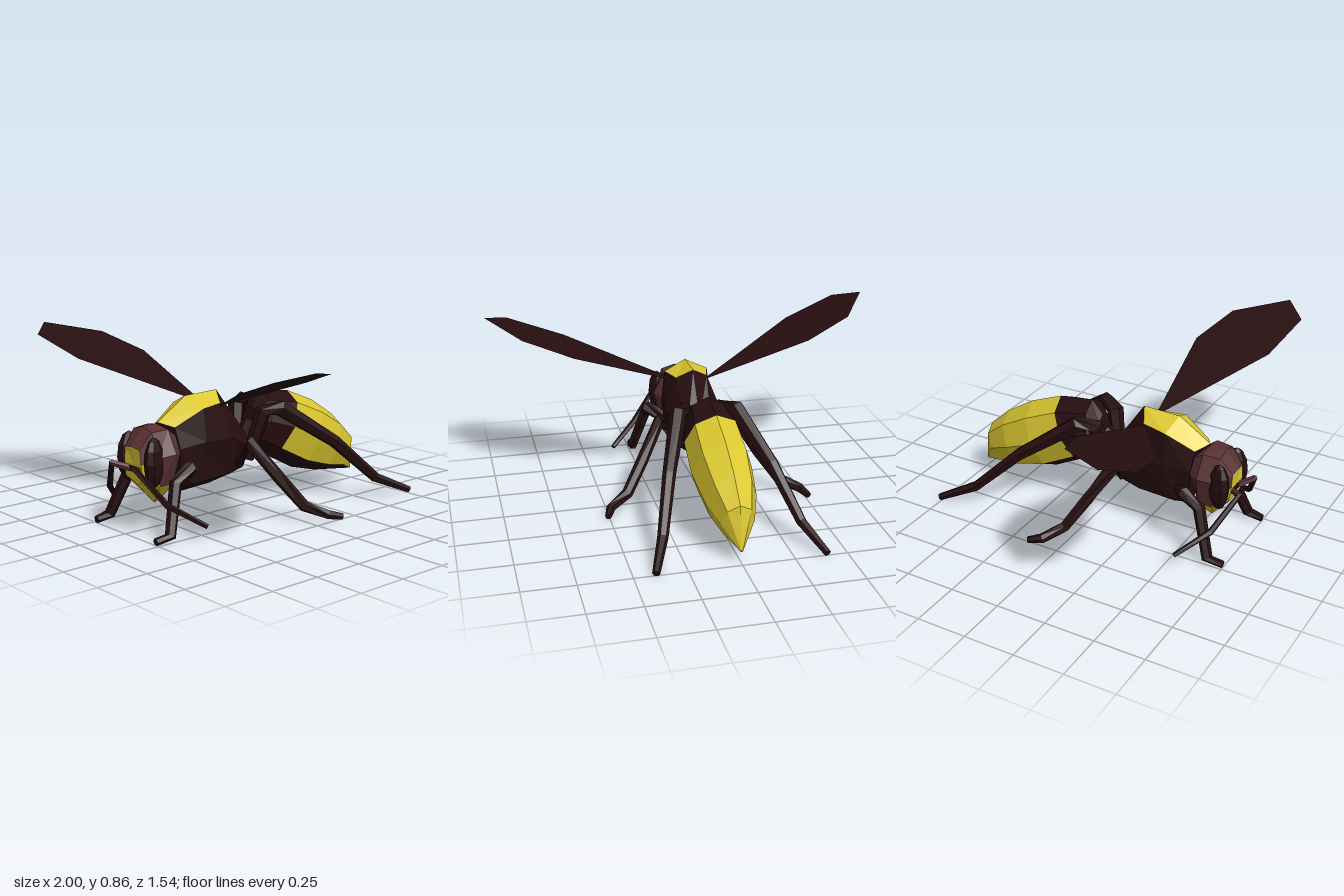
import * as THREE from 'three';

const V = (x, y, z) => new THREE.Vector3(x, y, z);
const material = (name, color, extra = {}) => {
  const m = new THREE.MeshStandardMaterial({ color, flatShading: true, ...extra });
  m.name = name;
  return m;
};

// Flat-shaded skin through closed rings with end caps; pick(segment, side) chooses a material index.
function loft(name, rings, materials, pick = () => 0, startCap = 0, endCap = 0) {
  const buckets = materials.map(() => []);
  const n = rings[0].length;
  const tri = (m, a, b, c) => buckets[m].push([a, b, c]);
  for (let i = 0; i < rings.length - 1; i++) {
    for (let j = 0; j < n; j++) {
      const k = (j + 1) % n, p = rings[i], q = rings[i + 1], m = pick(i, j);
      tri(m, p[j], q[j], q[k]);
      tri(m, p[j], q[k], p[k]);
    }
  }
  const cap = (ring, m, flip) => {
    const c = V(0, 0, 0);
    ring.forEach((p) => c.addScaledVector(p, 1 / n));
    ring.forEach((p, j) => {
      const q = ring[(j + 1) % n];
      flip ? tri(m, c, q, p) : tri(m, c, p, q);
    });
  };
  cap(rings[0], startCap, false);
  cap(rings[rings.length - 1], endCap, true);

  // Signed volume tells whether the skin must be turned outward.
  const origin = rings[0][0];
  let volume = 0;
  buckets.flat().forEach(([a, b, c]) => {
    const u = a.clone().sub(origin), v = b.clone().sub(origin), w = c.clone().sub(origin);
    volume += u.dot(v.cross(w));
  });
  const points = [];
  const geometry = new THREE.BufferGeometry();
  buckets.forEach((list, m) => {
    if (list.length) geometry.addGroup(points.length, list.length * 3, m);
    list.forEach(([a, b, c]) => (volume < 0 ? points.push(a, c, b) : points.push(a, b, c)));
  });
  geometry.setFromPoints(points);
  geometry.computeVertexNormals();
  const mesh = new THREE.Mesh(geometry, materials);
  mesh.name = name;
  return mesh;
}

// Full ring from a half profile running top, shoulder, side, low, bottom.
const mirrorRing = (half) => {
  const pts = half.map((p) => V(...p));
  const other = pts.slice(1, -1).reverse().map((p) => V(-p.x, p.y, p.z));
  return [...pts, ...other];
};
const strip = (j) => Math.min(j, 7 - j);

// Tapered limb along a bent path.
function limb(name, path, radii, mat, sides = 6) {
  const pts = path.map((p) => V(...p));
  const rings = pts.map((p, i) => {
    const t = pts[Math.min(i + 1, pts.length - 1)].clone().sub(pts[Math.max(i - 1, 0)]).normalize();
    const u = V(1, 0, 0).addScaledVector(t, -t.x).normalize();
    const v = t.clone().cross(u);
    return Array.from({ length: sides }, (_, k) => {
      const a = (k / sides) * Math.PI * 2;
      return p.clone().addScaledVector(u, Math.cos(a) * radii[i]).addScaledVector(v, Math.sin(a) * radii[i]);
    });
  });
  return loft(name, rings, [mat]);
}

export function createModel() {
  const model = new THREE.Group();
  model.name = 'wasp';
  const dark = material('dark shell', 0x260e10);
  const yellow = material('yellow shell', 0xdcc830);
  const brown = material('brown head shell', 0x583032);
  const wingDark = material('dark wing', 0x260e10, { side: THREE.DoubleSide });

  // Thorax with yellow back plate
  const thorax = [
    [[0, 0.5, 0.555], [0.075, 0.48, 0.51], [0.1, 0.38, 0.5], [0.08, 0.24, 0.49], [0, 0.21, 0.49]],
    [[0, 0.605, 0.39], [0.112, 0.555, 0.37], [0.13, 0.4, 0.37], [0.1, 0.2, 0.42], [0, 0.145, 0.455]],
    [[0, 0.61, 0.2], [0.08, 0.56, 0.24], [0.14, 0.4, 0.22], [0.1, 0.21, 0.23], [0, 0.155, 0.25]],
    [[0, 0.4, 0.06], [0.06, 0.38, 0.06], [0.095, 0.32, 0.07], [0.06, 0.22, 0.08], [0, 0.18, 0.1]],
  ].map(mirrorRing);
  model.add(loft('thorax', thorax, [dark, yellow], (i, j) => (i < 2 && strip(j) === 0 ? 1 : 0)));
  model.add(limb('waist', [[0, 0.3, 0.1], [0, 0.31, 0.03], [0, 0.39, -0.05]], [0.08, 0.06, 0.075], dark, 8));

  // Abdomen: top z, top y, bottom z, bottom y, half width
  const abdomen = [
    [-0.03, 0.5, 0, 0.31, 0.065],
    [-0.09, 0.57, -0.03, 0.295, 0.11],
    [-0.27, 0.545, -0.12, 0.235, 0.14],
    [-0.44, 0.475, -0.3, 0.14, 0.147],
    [-0.59, 0.38, -0.47, 0.095, 0.125],
    [-0.7, 0.275, -0.62, 0.075, 0.08],
    [-0.735, 0.07, -0.73, 0.06, 0.006],
  ].map(([tz, ty, bz, by, w]) => mirrorRing([0, 1, 2, 3, 4].map((k) => {
    const a = (k * Math.PI) / 4, f = (1 - Math.cos(a)) / 2;
    return [w * Math.sin(a), ty + (by - ty) * f, tz + (bz - tz) * f];
  })));
  model.add(loft('abdomen', abdomen, [dark, yellow], (i, j) => (i > 1 && strip(j) < 3 ? 1 : 0), 0, 1));

  // Head with brown crown and yellow face
  const head = [
    [[0, 0.46, 0.5], [0.07, 0.44, 0.5], [0.1, 0.36, 0.5], [0.06, 0.28, 0.51], [0, 0.25, 0.52]],
    [[0, 0.495, 0.56], [0.08, 0.48, 0.555], [0.135, 0.37, 0.55], [0.09, 0.22, 0.54], [0, 0.14, 0.53]],
    [[0, 0.495, 0.64], [0.07, 0.475, 0.64], [0.115, 0.36, 0.64], [0.095, 0.22, 0.62], [0, 0.12, 0.58]],
    [[0, 0.41, 0.705], [0.055, 0.4, 0.7], [0.065, 0.33, 0.7], [0.07, 0.26, 0.69], [0, 0.22, 0.67]],
  ].map(mirrorRing);
  model.add(loft('head', head, [brown, yellow],
    (i, j) => (strip(j) === 3 && i > 0) || (i === 2 && strip(j) === 2) ? 1 : 0, 0, 1));

  // Dark brow plate between the antenna roots
  const brow = new THREE.Mesh(new THREE.BoxGeometry(0.1, 0.02, 0.008), dark);
  brow.name = 'facePlate';
  brow.position.set(0, 0.305, 0.698);
  model.add(brow);

  for (const s of [1, -1]) {
    const side = s > 0 ? 'left' : 'right';
    const m = (path) => path.map(([x, y, z]) => [s * x, y, z]);

    // Eyes
    const eye = new THREE.Mesh(new THREE.SphereGeometry(1, 8, 6), dark);
    eye.name = side + 'Eye';
    eye.scale.set(0.04, 0.12, 0.058);
    eye.position.set(s * 0.095, 0.34, 0.65);
    eye.rotation.y = s * 0.35;
    model.add(eye);

    // Antennae
    model.add(limb(side + 'AntennaBase', m([[0.025, 0.3, 0.69], [0.09, 0.325, 0.755]]), [0.016, 0.015], brown, 5));
    model.add(limb(side + 'Antenna',
      m([[0.085, 0.33, 0.755], [0.22, 0.17, 0.675], [0.36, 0.08, 0.555]]), [0.013, 0.016, 0.012], dark, 5));

    // Legs
    model.add(limb(side + 'FrontLeg',
      m([[0.07, 0.25, 0.43], [0.18, 0.31, 0.51], [0.175, 0.25, 0.59], [0.235, 0.03, 0.67], [0.23, 0.018, 0.75]]),
      [0.03, 0.032, 0.03, 0.027, 0.018], dark));
    model.add(limb(side + 'MiddleLeg',
      m([[0.08, 0.25, 0.13], [0.19, 0.37, 0.15], [0.3, 0.2, 0.055], [0.39, 0.07, -0.02],
        [0.485, 0.035, -0.09], [0.51, 0.02, -0.155]]),
      [0.03, 0.036, 0.03, 0.028, 0.024, 0.016], dark));
    model.add(limb(side + 'HindLeg',
      m([[0.05, 0.25, 0.04], [0.1, 0.49, -0.015], [0.145, 0.5, -0.09], [0.25, 0.31, -0.36],
        [0.33, 0.1, -0.58], [0.4, 0.018, -0.76]]),
      [0.03, 0.042, 0.042, 0.032, 0.026, 0.018], dark));

    // Wings: flat outline tilted upward toward the tip
    const outline = [[0.08, 0.23], [0.6, 0.18], [0.84, 0.27], [1, 0.52], [0.88, 0.635], [0.6, 0.58], [0.08, 0.25]];
    const wing = new THREE.ShapeGeometry(new THREE.Shape(outline.map(([x, z]) => new THREE.Vector2(s * x, -z))));
    const pos = wing.attributes.position;
    for (let i = 0; i < pos.count; i++) {
      const x = pos.getX(i);
      pos.setXYZ(i, x, 0.555 + 0.34 * (Math.abs(x) - 0.1), -pos.getY(i));
    }
    wing.computeVertexNormals();
    const wingMesh = new THREE.Mesh(wing, wingDark);
    wingMesh.name = side + 'Wing';
    model.add(wingMesh);
  }
  return model;
}
